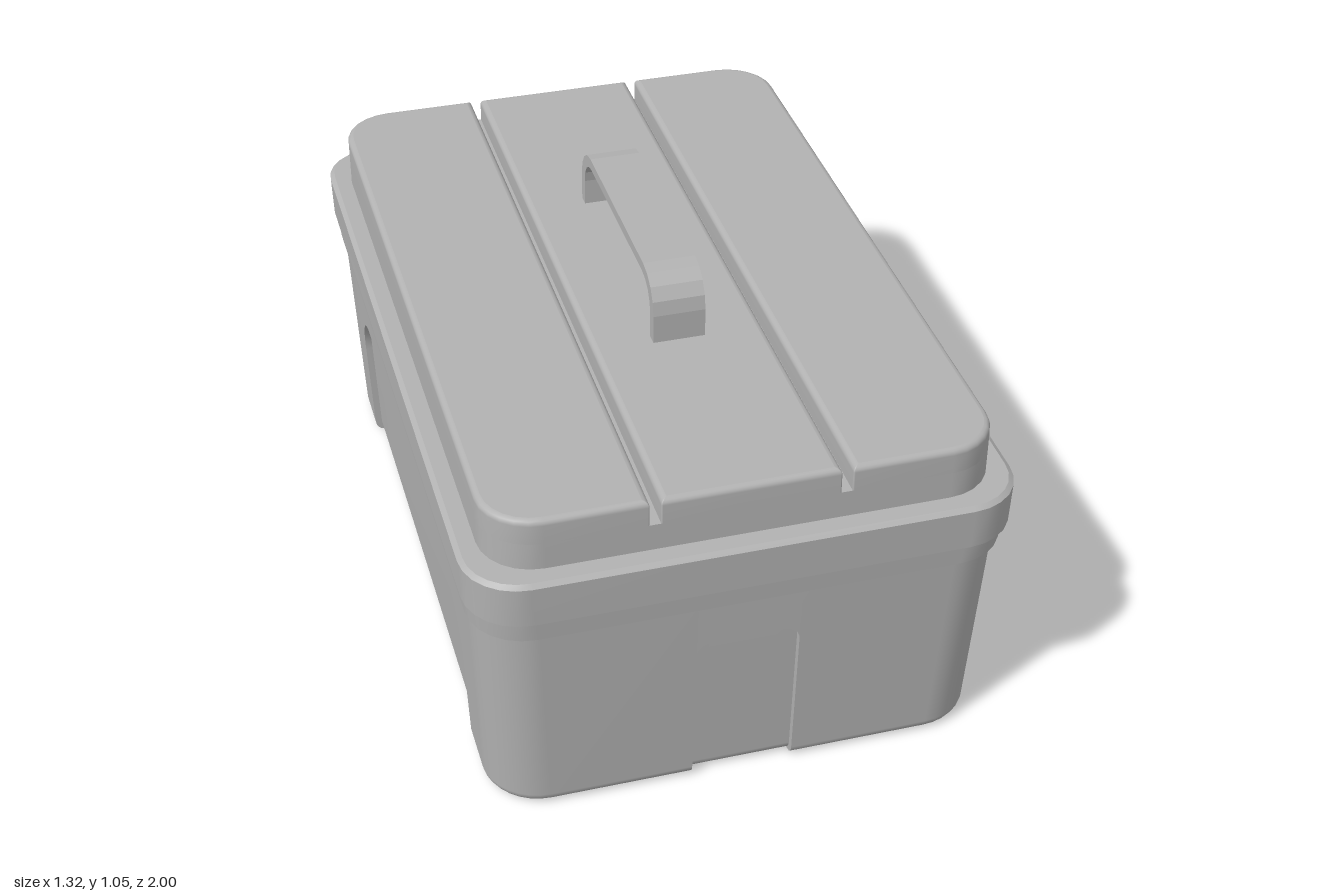
import * as THREE from 'three';
import { mergeGeometries } from 'three/addons/utils/BufferGeometryUtils.js';

const V = (x, y, z) => new THREE.Vector3(x, y, z);

// Smooth surface through rows of points (left to right, bottom to top seen from outside).
function grid(rows, closed = false) {
  const n = rows[0].length, pos = [], idx = [];
  rows.forEach(r => r.forEach(p => pos.push(p.x, p.y, p.z)));
  for (let j = 0; j < rows.length - 1; j++) {
    for (let i = 0; i < (closed ? n : n - 1); i++) {
      const k = (i + 1) % n, a = j * n + i, b = j * n + k;
      idx.push(a, b, b + n, a, b + n, a + n);
    }
  }
  const g = new THREE.BufferGeometry();
  g.setAttribute('position', new THREE.Float32BufferAttribute(pos, 3));
  g.setIndex(idx);
  g.computeVertexNormals();
  return g;
}

// Flat horizontal cap through a ring of points.
function cap(ring, up) {
  const s = up ? -1 : 1;
  const g = new THREE.ShapeGeometry(new THREE.Shape(ring.map(p => new THREE.Vector2(p.x, s * p.z))));
  g.rotateX(s * Math.PI / 2).translate(0, ring[0].y, 0);
  g.deleteAttribute('uv');
  return g;
}

// Horizontal rounded rectangle from x0 to x1; radii differ for the two x ends.
function outline(x0, x1, hz, r0, r1, y, inset = 0, seg = 6) {
  const pts = [];
  for (let c = 0; c < 4; c++) {
    const right = c < 2, r = right ? r1 : r0, q = Math.max(r - inset, 0.002);
    const cx = right ? x1 - inset - q : x0 + inset + q;
    const cz = (c === 0 || c === 3 ? 1 : -1) * (hz - inset - q);
    for (let i = 0; i <= seg; i++) {
      const t = (c + i / seg) * Math.PI / 2;
      pts.push(V(cx + q * Math.sin(t), y, cz + q * Math.cos(t)));
    }
  }
  return pts;
}

// Closed solid from strips of rings; edges between strips stay sharp.
function loft(strips) {
  const last = strips[strips.length - 1];
  return mergeGeometries([
    ...strips.map(s => grid(s, true)),
    cap(strips[0][0], false),
    cap(last[last.length - 1], true),
  ]);
}

// Tapered tub with an arched recess, open at the bottom, in each wall.
function tubGeometry() {
  const TOP = 0.575, FILLET = 0.03, CORNER = 0.14, DEPTH = 0.018, H = 0.44;
  const half = (k, y) => k % 2 ? 0.614 + 0.043 * y : 0.928 + 0.055 * y;
  const recess = k => k % 2 ? { w: 0.66, r: 0.15 } : { w: 0.126, r: 0.035 };
  const low = [0, 0.15, 0.35, 0.65, 1].map(t => FILLET * t);
  const round = y => y >= FILLET ? 0 : FILLET - Math.sqrt(FILLET ** 2 - (FILLET - y) ** 2);
  // a runs along wall k, d is the distance out from the centre
  const place = (k, a, y, d) =>
    [V(a, y, d), V(d, y, -a), V(-a, y, -d), V(-d, y, a)][k % 4];
  const onWall = (k, a, y, inset) => place(k, a, y, half(k, y) - round(y) - inset);

  const cornerRow = (k, y) => {
    const q = CORNER - round(y), pts = [onWall(k, recess(k).w, y, 0)];
    for (let i = 0; i <= 8; i++) {
      const t = i / 8 * Math.PI / 2;
      pts.push(place(k, half(k + 1, y) - CORNER + q * Math.sin(t), y,
        half(k, y) - CORNER + q * Math.cos(t)));
    }
    pts.push(onWall(k + 1, -recess(k + 1).w, y, 0));
    return pts;
  };

  const parts = [], bottom = [];
  for (let k = 0; k < 4; k++) {
    const { w, r } = recess(k), arch = [];
    for (const s of [-1, 1]) {
      for (let i = 0; i <= 8; i++) {
        const t = (s < 0 ? i : 8 - i) / 8 * Math.PI / 2;
        arch.push([s * (w - r + r * Math.cos(t)), H - r + r * Math.sin(t)]);
      }
    }
    const path = [...low.map(y => [-w, y]), ...arch, ...low.map(y => [w, y]).reverse()];
    // corner piece, wall above the recess, recess floor, recess edge
    parts.push(
      grid([...low, TOP].map(y => cornerRow(k, y))),
      grid([arch.map(([a, y]) => onWall(k, a, y, 0)), arch.map(([a]) => onWall(k, a, TOP, 0))]),
      grid([...low.map(y => arch.map(([a]) => onWall(k, a, y, DEPTH))),
        arch.map(([a, y]) => onWall(k, a, y, DEPTH))]),
      grid([DEPTH, 0].map(inset => path.map(([a, y]) => onWall(k, a, y, inset)))),
    );
    bottom.push(onWall(k, -w, 0, DEPTH), onWall(k, w, 0, DEPTH), ...cornerRow(k, 0));
  }
  parts.push(cap(bottom, false));
  return mergeGeometries(parts);
}

// Arched carrying handle, cut in the z-y plane and extruded across x.
function handleGeometry() {
  const half = (w, top, r, base) => {
    const pts = [[w, base]];
    for (let i = 0; i <= 4; i++) {
      const t = i / 4 * Math.PI / 2;
      pts.push([w - r + r * Math.cos(t), top - r + r * Math.sin(t)]);
    }
    return [...pts, ...pts.map(([x, y]) => [-x, y]).reverse()];
  };
  const pts = [...half(0.35, 1.05, 0.095, 0.87), ...half(0.32, 1.023, 0.075, 0.87).reverse()];
  const shape = new THREE.Shape(pts.map(p => new THREE.Vector2(...p)));
  return new THREE.ExtrudeGeometry(shape, { depth: 0.13, bevelEnabled: false })
    .translate(0, 0, -0.065).rotateY(Math.PI / 2);
}

export function createModel() {
  const group = new THREE.Group();
  const grey = new THREE.MeshStandardMaterial({ color: 0xb2b2b2 });
  grey.name = 'grey plastic';
  const add = (name, geometry) => {
    const m = new THREE.Mesh(geometry, grey);
    m.name = name;
    group.add(m);
  };
  const rect = (hx, hz, r, y, inset) => outline(-hx, hx, hz, r, r, y, inset);

  add('tub', tubGeometry());

  // Two stepped bands around the rim
  add('lowerRim', loft([[rect(0.647, 0.976, 0.14, 0.567), rect(0.652, 0.981, 0.14, 0.632)]]));
  add('upperRim', loft([
    [rect(0.658, 0.997, 0.14, 0.63), rect(0.661, 1, 0.14, 0.736)],
    [rect(0.661, 1, 0.14, 0.736), rect(0.661, 1, 0.14, 0.745, 0.012)],
  ]));

  // Lid: a base slab and three raised panels separated by grooves
  const LX = 0.609, LZ = 0.945, LR = 0.13, FLOOR = 0.815, LID = 0.88, B = 0.015;
  add('lidBase', loft([[rect(LX, LZ, LR, 0.74), rect(LX, LZ, LR, FLOOR)]]));
  const panels = [
    ['lidPanelRight', -LX, -0.238, LR, 0.004],
    ['lidPanelMiddle', -0.212, 0.212, 0.004, 0.004],
    ['lidPanelLeft', 0.238, LX, 0.004, LR],
  ];
  for (const [name, x0, x1, r0, r1] of panels) {
    const rows = [outline(x0, x1, LZ, r0, r1, FLOOR)];
    for (let i = 0; i <= 4; i++) {
      const t = i / 4 * Math.PI / 2;
      rows.push(outline(x0, x1, LZ, r0, r1, LID - B + B * Math.sin(t), B * (1 - Math.cos(t))));
    }
    add(name, loft([rows]));
  }

  add('handle', handleGeometry());
  return group;
}
